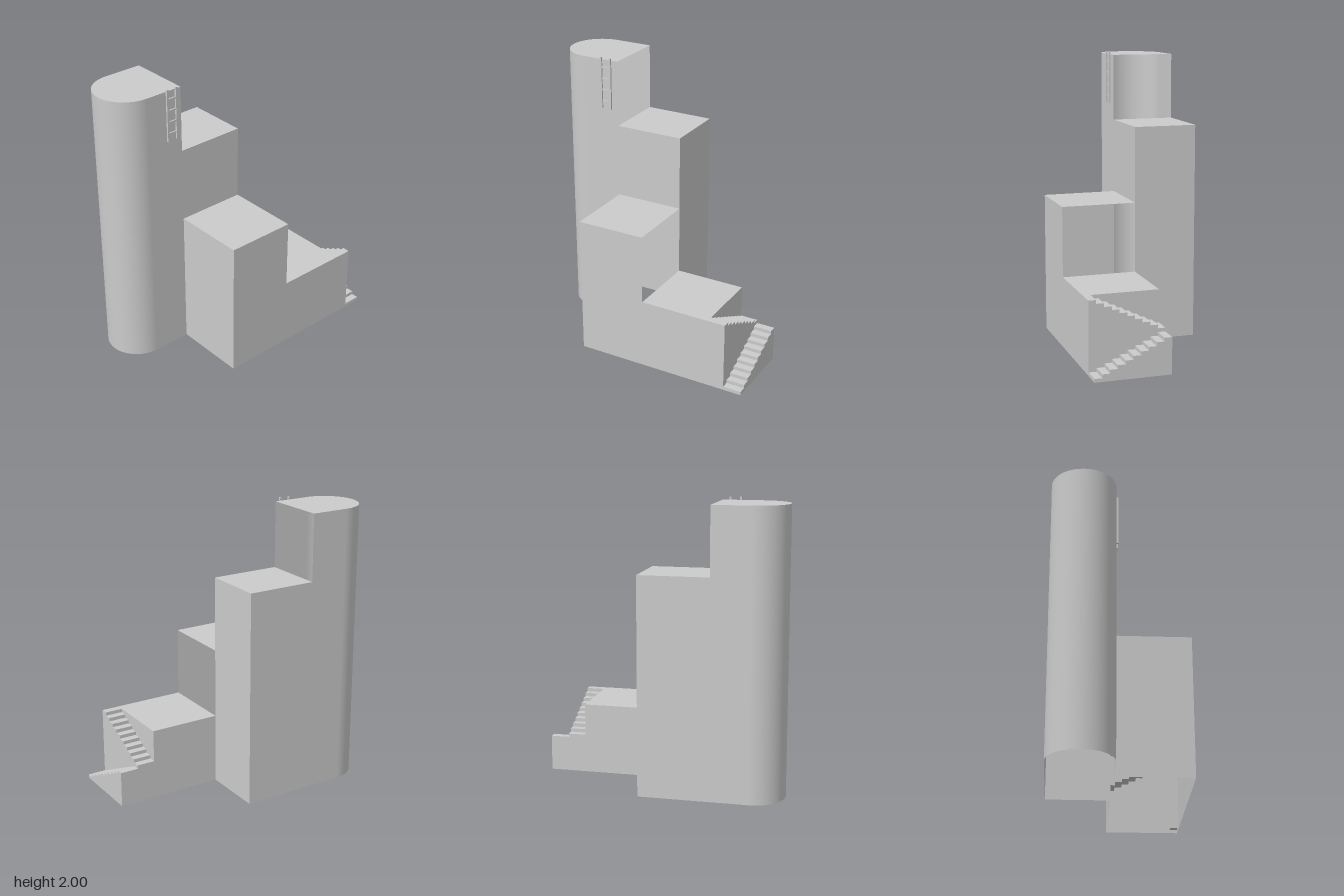
import * as THREE from 'three';

// Plan lines and level heights
const X = { arc: -0.65, a: -0.38, b: 0.11, c: 0.61, d: 0.737, e: 0.867 };
const BACK = -0.48, MID = -0.04, FRONT = 0.48;
const H = { tower: 1.98, upper: 1.515, middle: 0.99, low: 0.5, landing: 0.25 };
const STEPS = 10, RUN = (FRONT - MID) / STEPS, RISE = H.landing / STEPS;

export function createModel() {
  const group = new THREE.Group();
  const mat = new THREE.MeshStandardMaterial({ color: 0xcccccc, side: THREE.DoubleSide });

  function add(name, geometry, parent = group) {
    const mesh = new THREE.Mesh(geometry, mat);
    mesh.name = name;
    parent.add(mesh);
    return mesh;
  }

  // Flat panel facing one direction. Points are [x,y] for front/back,
  // [z,y] for left/right and [x,z] for up; 'at' is the plane's position.
  function panel(name, facing, at, pts, parent = group) {
    const flip = facing === 'front' || facing === 'right' ? 1 : -1;
    const shape = new THREE.Shape(pts.map(([u, v]) =>
      facing === 'up' ? new THREE.Vector2(u, -v) : new THREE.Vector2(u * flip, v)));
    const g = new THREE.ShapeGeometry(shape);
    if (facing === 'up') g.rotateX(-Math.PI / 2).translate(0, at, 0);
    if (facing === 'front') g.translate(0, 0, at);
    if (facing === 'back') g.rotateY(Math.PI).translate(0, 0, at);
    if (facing === 'left') g.rotateY(Math.PI / 2).translate(at, 0, 0);
    if (facing === 'right') g.rotateY(-Math.PI / 2).translate(at, 0, 0);
    return add(name, g, parent);
  }
  const rect = (u0, v0, u1, v1) => [[u0, v0], [u1, v0], [u1, v1], [u0, v1]];

  // Tower with a round end, open towards the upper block
  const r = (MID - BACK) / 2, zc = (MID + BACK) / 2;
  const round = new THREE.CylinderGeometry(r, r, H.tower, 40, 1, true, Math.PI, Math.PI);
  add('towerRoundWall', round.translate(X.arc, H.tower / 2, zc));
  const roof = [[X.a, BACK], [X.a, MID]];
  for (let i = 0; i <= 40; i++) {
    const t = (i / 40) * Math.PI;
    roof.push([X.arc - r * Math.sin(t), zc + r * Math.cos(t)]);
  }
  panel('towerRoof', 'up', H.tower, roof);
  panel('towerFrontWall', 'front', MID, rect(X.arc, 0, X.a, H.tower));
  panel('towerBackWall', 'back', BACK, rect(X.arc, 0, X.a, H.tower));

  // Upper block beside the tower
  panel('upperRoof', 'up', H.upper, rect(X.a, BACK, X.b, MID));
  panel('upperFrontWall', 'front', MID, rect(X.a, H.middle, X.b, H.upper));
  panel('upperBackWall', 'back', BACK, rect(X.a, 0, X.b, H.upper));
  panel('upperSideWall', 'left', X.b, rect(BACK, 0, MID, H.upper));

  // Middle block in front, open above the low block
  panel('middleRoof', 'up', H.middle, rect(X.a, MID, X.b, FRONT));
  panel('middleFrontWall', 'front', FRONT, rect(X.a, 0, X.b, H.middle));
  panel('middleSideWall', 'right', X.a, rect(MID, 0, FRONT, H.middle));

  // Low block
  panel('lowRoof', 'up', H.low, rect(X.b, MID, X.c, FRONT));
  panel('lowFrontWall', 'front', FRONT, rect(X.b, 0, X.d, H.low));
  panel('lowBackWall', 'back', MID, rect(X.b, 0, X.c, H.low));
  panel('lowBackWallUnderStair', 'back', MID, rect(X.c, 0, X.d, H.landing));

  // One flight: it climbs from z0 in direction dir, starting at height y0
  function flight(name, x0, x1, z0, dir, y0) {
    const stair = new THREE.Group();
    stair.name = name;
    group.add(stair);
    const profile = [];
    for (let k = 0; k < STEPS; k++) {
      const za = z0 + dir * RUN * k, zb = za + dir * RUN;
      const y = y0 + RISE * (k + 1);
      panel('riser', dir < 0 ? 'front' : 'back', za, rect(x0, y - RISE, x1, y), stair);
      panel('tread', 'up', y, rect(x0, Math.min(za, zb), x1, Math.max(za, zb)), stair);
      profile.push([za, y], [zb, y]);
    }
    return { stair, profile };
  }

  // Outer flight climbs to the back, inner flight returns to the front
  const outer = flight('outerFlight', X.d, X.e, FRONT, -1, 0);
  panel('outerFlightSide', 'left', X.e, [[FRONT, 0], ...outer.profile, [MID, 0]], outer.stair);
  panel('outerFlightBack', 'back', MID, rect(X.d, 0, X.e, H.landing), outer.stair);
  const inner = flight('innerFlight', X.c, X.d, MID, 1, H.landing);
  panel('innerFlightSide', 'left', X.d, [[MID, 0], ...inner.profile, [FRONT, 0]], inner.stair);
  panel('innerFlightWall', 'left', X.c,
    [...inner.profile.slice(0, -2), [FRONT - RUN, H.low], [MID, H.low]], inner.stair);

  // Ladder at the top of the tower
  const ladder = new THREE.Group();
  ladder.name = 'ladder';
  ladder.position.set(-0.465, 0, -0.024);
  group.add(ladder);
  for (const s of [-1, 1]) {
    add('ladderRail', new THREE.BoxGeometry(0.013, 0.368, 0.012), ladder)
      .position.set(s * 0.036, 1.816, 0);
  }
  for (let i = 0; i < 4; i++) {
    add('ladderRung', new THREE.BoxGeometry(0.064, 0.011, 0.009), ladder)
      .position.set(0, 1.686 + i * 0.081, 0);
  }
  return group;
}
